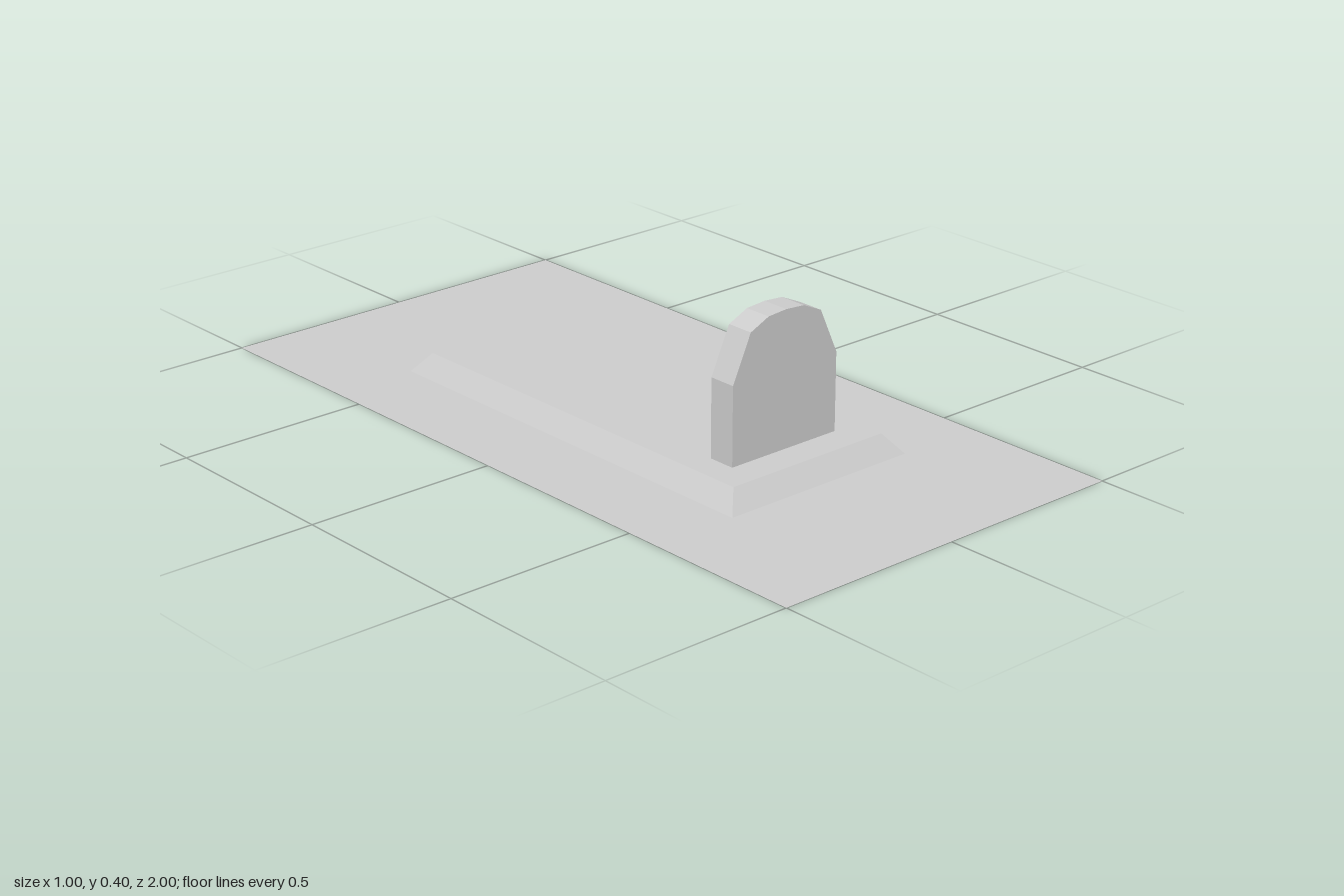
import * as THREE from 'three';

const stone = new THREE.MeshStandardMaterial({ color: 0xcccccc });
stone.name = 'stone grey';
stone.flatShading = true;
stone.side = THREE.DoubleSide;

function addPart(group, name, geometry) {
  const mesh = new THREE.Mesh(geometry, stone);
  mesh.name = name;
  group.add(mesh);
  return mesh;
}

// Extrudes an outline that is mirrored across x = 0; points run up the +x side.
function mirroredPlate(half, depth) {
  const left = half.filter(([x]) => x > 0).reverse().map(([x, y]) => [-x, y]);
  const shape = new THREE.Shape([...half, ...left].map(([x, y]) => new THREE.Vector2(x, y)));
  return new THREE.ExtrudeGeometry(shape, { depth, bevelEnabled: false });
}

export function createModel() {
  const model = new THREE.Group();
  model.name = 'grave';

  // Flat ground sheet
  addPart(model, 'ground', new THREE.PlaneGeometry(1, 2).rotateX(-Math.PI / 2));

  // Grave slab: a box whose top is drawn in on all sides
  const slab = new THREE.BoxGeometry(0.55, 0.05, 1.18).translate(0, 0.025, 0);
  const p = slab.attributes.position;
  for (let i = 0; i < p.count; i++) {
    if (p.getY(i) > 0.01) {
      p.setX(i, Math.sign(p.getX(i)) * 0.235);
      p.setZ(i, Math.sign(p.getZ(i)) * 0.55);
    }
  }
  slab.computeVertexNormals();
  addPart(model, 'slab', slab);

  // Headstone with a faceted round top
  const headstone = addPart(model, 'headstone', mirroredPlate(
    [[0.163, 0.05], [0.163, 0.25], [0.11, 0.366], [0.055, 0.391], [0, 0.395]], 0.072));
  headstone.position.z = 0.396;

  // Raised cross on the inner face of the headstone
  const cross = addPart(model, 'cross', mirroredPlate(
    [[0.009, 0.2], [0.009, 0.257], [0.036, 0.257], [0.036, 0.275], [0.009, 0.275], [0.009, 0.31]], 0.012));
  cross.position.z = 0.386;

  return model;
}
